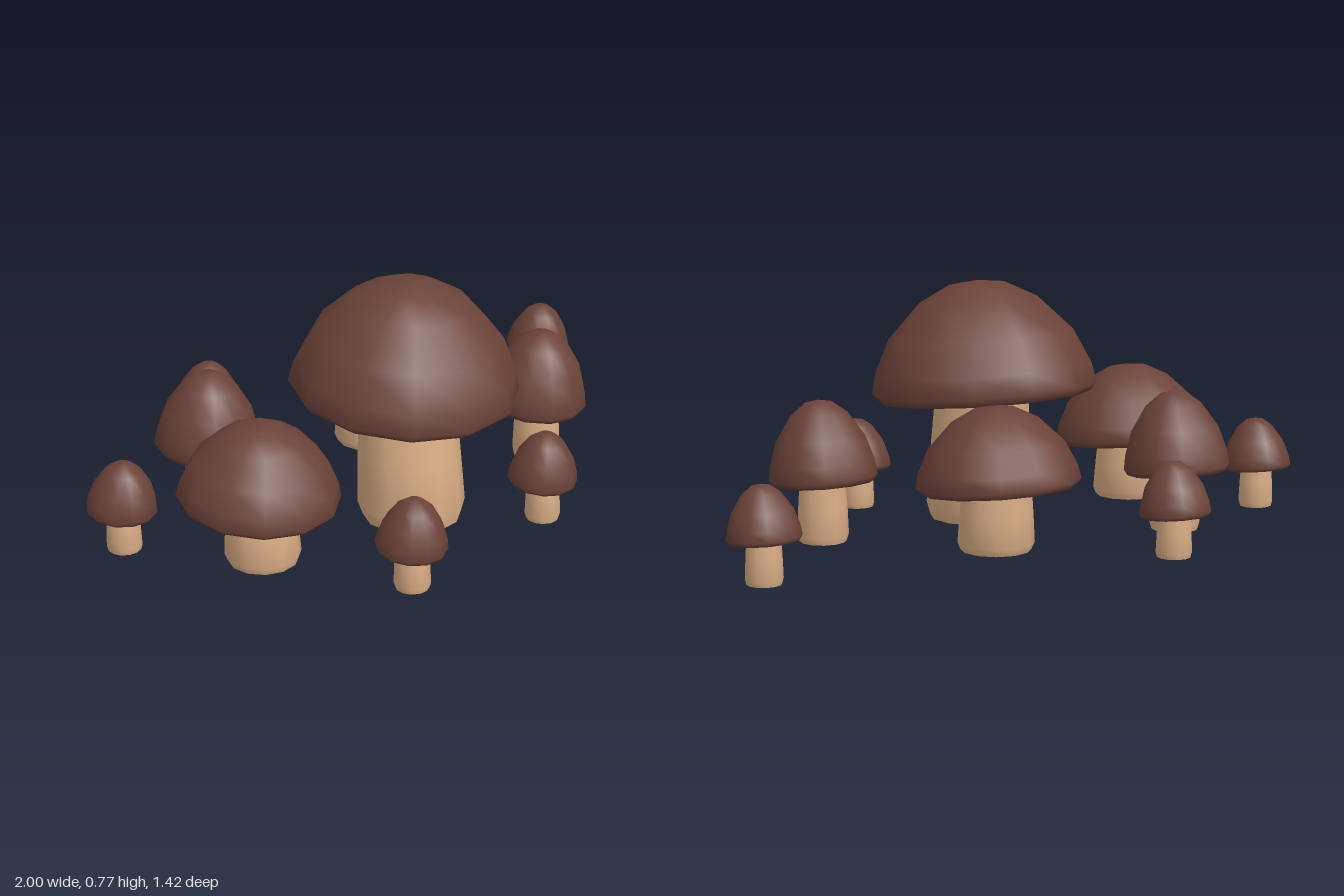
import * as THREE from 'three';
import { toCreasedNormals } from 'three/addons/utils/BufferGeometryUtils.js';

const SIDES = 12;
const capMaterial = new THREE.MeshStandardMaterial({ color: 0x6b4238 });
const stemMaterial = new THREE.MeshStandardMaterial({ color: 0xdcaf86 });

// Unit profiles: radius and height, bottom to top
const CAP = [[0, 0.02], [0.6, 0], [0.94, -0.03], [1, 0.04], [0.96, 0.22], [0.82, 0.52],
  [0.52, 0.83], [0.25, 0.97], [0, 1]];
const STEM = [[0, 0], [0.92, 0], [1, 0.1], [0.95, 0.5], [0.87, 1], [0, 1]];

function lathe(profile, radius, height) {
  const points = profile.map(([r, y]) => new THREE.Vector2(r * radius, y * height));
  return new THREE.LatheGeometry(points, SIDES);
}

// Each size: cap radius, rim height, top height, stem radius, ground gap, backward stem lean
const SIZES = {
  giant: { capR: 0.362, rim: 0.415, top: 0.775, stemR: 0.17, base: 0.003, lean: 0.04 },
  broad: { capR: 0.25, rim: 0.215, top: 0.46, stemR: 0.117, base: 0.018, lean: 0.012 },
  tall: { capR: 0.168, rim: 0.195, top: 0.445, stemR: 0.08, base: 0.003, lean: 0.005 },
  small: { capR: 0.11, rim: 0.14, top: 0.302, stemR: 0.056, base: 0.01, lean: 0.003 },
};

function makeMushroom(size, x, z, turn) {
  const { capR, rim, top, stemR, base, lean } = SIZES[size];
  const group = new THREE.Group();
  group.name = size + 'Mushroom';
  group.position.set(x, 0, z);

  // Stem, sheared slightly so its foot sits forward of the cap centre
  const length = rim + 0.03 - base;
  const stemGeometry = lathe(STEM, stemR, length).rotateY(turn);
  const p = stemGeometry.attributes.position;
  for (let i = 0; i < p.count; i++) p.setZ(i, p.getZ(i) + lean * (1 - p.getY(i) / length));
  const stem = new THREE.Mesh(toCreasedNormals(stemGeometry, 0.9), stemMaterial);
  stem.name = 'stem';
  stem.position.y = base;

  // Domed cap, tipped a little forward and to the left
  const cap = new THREE.Mesh(lathe(CAP, capR, top - rim).rotateY(turn), capMaterial);
  cap.name = 'cap';
  cap.position.set(-0.01 * capR, rim, -0.03 * capR);
  cap.rotation.set(0.08, 0, -0.04);

  group.add(stem, cap);
  return group;
}

export function createModel() {
  const model = new THREE.Group();
  model.name = 'mushroomCluster';
  const layout = [
    ['giant', 0.01, 0.12],
    ['broad', -0.55, 0.235],
    ['broad', 0.133, -0.378],
    ['tall', -0.515, -0.23],
    ['tall', 0.58, -0.028],
    ['small', -0.35, -0.602],
    ['small', 0.888, -0.523],
    ['small', -0.89, -0.03],
    ['small', -0.228, 0.598],
    ['small', 0.35, 0.391],
  ];
  layout.forEach(([size, x, z], i) => model.add(makeMushroom(size, x, z, 0.1 + i * 0.05)));
  return model;
}
